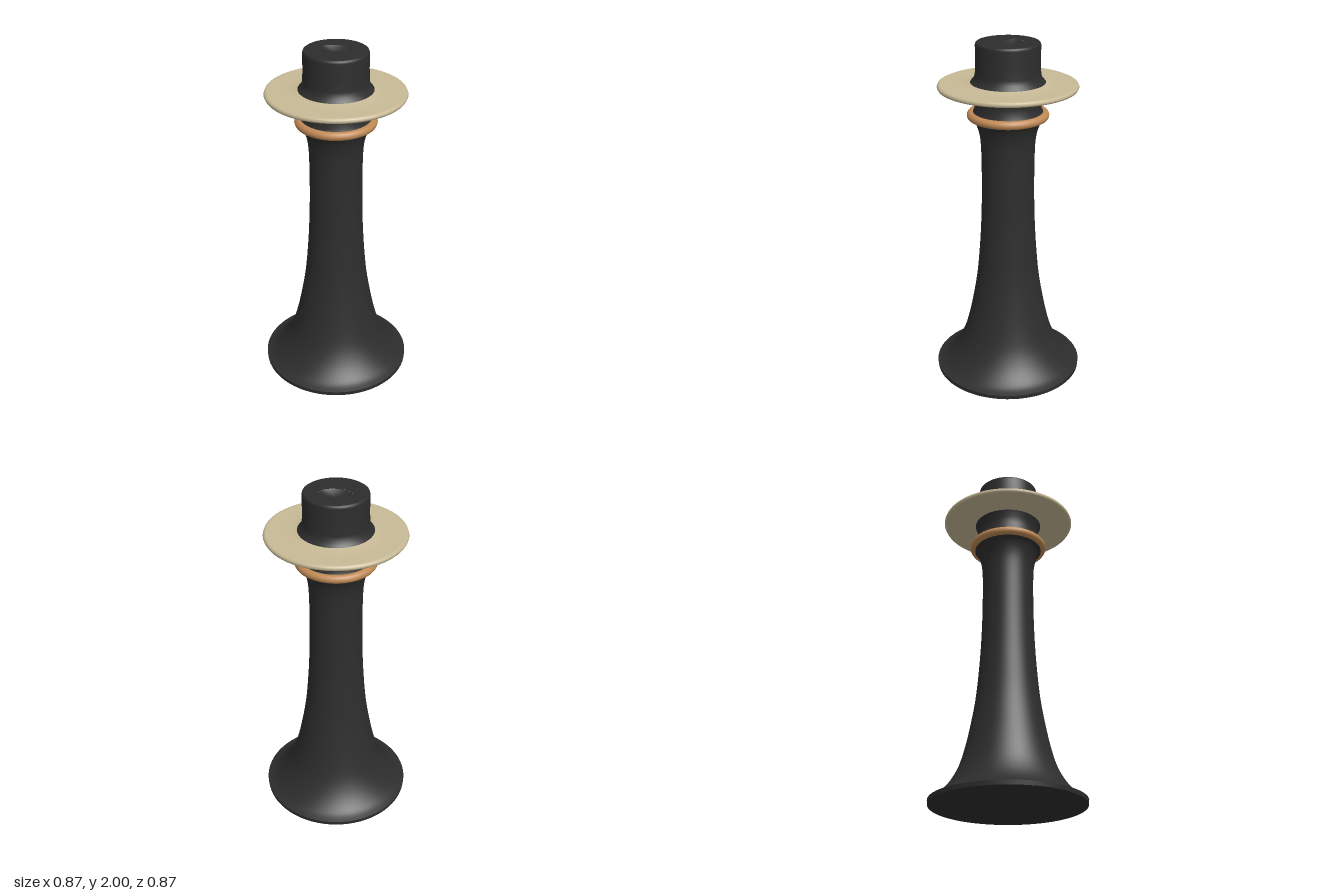
import * as THREE from 'three';

const SEGMENTS = 72;

export function createModel() {
  const group = new THREE.Group();
  const charcoal = new THREE.MeshStandardMaterial({ color: 0x2d2d2d });
  charcoal.name = 'charcoal';
  const cream = new THREE.MeshStandardMaterial({ color: 0xc8ba96 });
  cream.name = 'cream';
  const copper = new THREE.MeshStandardMaterial({ color: 0xc08a56 });
  copper.name = 'copper';

  const add = (name, geometry, material) => {
    const mesh = new THREE.Mesh(geometry, material);
    mesh.name = name;
    group.add(mesh);
    return mesh;
  };
  // Profiles run so that their left side faces inward, given as [radius, height]
  const turn = (name, profile, material) =>
    add(name, new THREE.LatheGeometry(profile.map(([r, y]) => new THREE.Vector2(r, y)), SEGMENTS), material);

  // Foot: flat underside and thin upright rim
  turn('footUnderside', [[0, 0], [0.432, 0]], charcoal);
  turn('footRim', [[0.432, 0], [0.434, 0.024]], charcoal);

  // Flared column, widening again under the ring
  const column = new THREE.SplineCurve([
    [0.434, 0.024], [0.39, 0.043], [0.345, 0.085], [0.305, 0.14], [0.27, 0.21], [0.242, 0.3],
    [0.215, 0.42], [0.184, 0.6], [0.165, 0.8], [0.154, 1.0], [0.15, 1.2], [0.152, 1.4],
    [0.162, 1.49], [0.183, 1.55], [0.205, 1.58], [0.2, 1.61],
  ].map(([r, y]) => new THREE.Vector2(r, y)));
  add('column', new THREE.LatheGeometry(column.getPoints(60), SEGMENTS), charcoal);

  // Waisted neck between ring and brim
  turn('neck', [[0.2, 1.605], [0.187, 1.63], [0.181, 1.67], [0.185, 1.71], [0.2, 1.75]], charcoal);

  // Hub above the brim, with a small skirt and softened top edge
  turn('hub', [[0.212, 1.775], [0.2, 1.79], [0.187, 1.805], [0.181, 1.83], [0.179, 1.9],
    [0.179, 1.985], [0.176, 1.996], [0.17, 2.0]], charcoal);

  // Top face with a shallow slanted oval hollow
  const face = new THREE.Shape().absarc(0, 0, 0.17, 0, Math.PI * 2);
  const hole = new THREE.Path().absellipse(0.014, 0.015, 0.09, 0.05, 0, Math.PI * 2, true, -0.75);
  face.holes.push(hole);
  add('topFace', new THREE.ShapeGeometry(face, 36).rotateX(-Math.PI / 2).translate(0, 2, 0), charcoal);
  const hollow = turn('topHollow', [[0, -0.025], [0.6, -0.02], [1, 0]].reverse(), charcoal);
  hollow.geometry.dispose();
  hollow.geometry = new THREE.LatheGeometry(
    [[0, -0.025], [0.6, -0.02], [1, 0]].map(([r, y]) => new THREE.Vector2(r, y)), 36);
  // Turn the bowl's faces upward
  const index = hollow.geometry.index;
  for (let i = 0; i < index.count; i += 3) {
    const a = index.getX(i);
    index.setX(i, index.getX(i + 1));
    index.setX(i + 1, a);
  }
  hollow.geometry.computeVertexNormals();
  hollow.scale.set(0.09, 1, 0.05);
  hollow.rotation.y = -0.75;
  hollow.position.set(0.014, 2, -0.015);

  // Wide thin brim with a rounded edge and slight rise at the hub
  turn('brim', [[0.17, 1.746], [0.375, 1.744], [0.385, 1.748], [0.39, 1.758], [0.386, 1.769],
    [0.375, 1.774], [0.355, 1.771], [0.27, 1.772], [0.225, 1.776], [0.19, 1.785]], cream);

  // Rounded ring below the brim
  const ring = new THREE.TorusGeometry(0.205, 0.024, 16, SEGMENTS).rotateX(Math.PI / 2);
  add('ring', ring.translate(0, 1.594, 0), copper);

  return group;
}
